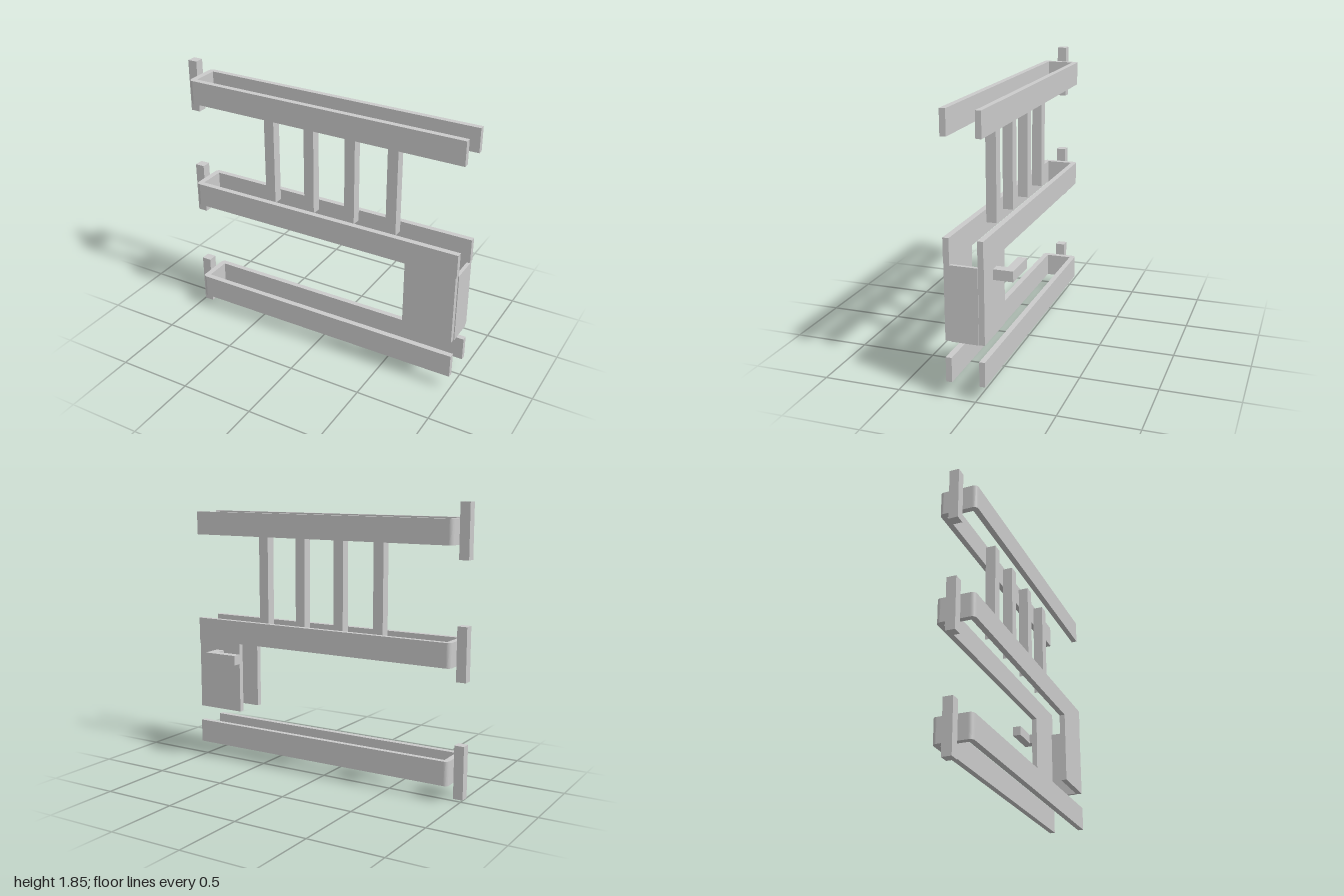
import * as THREE from 'three';

const material = new THREE.MeshStandardMaterial({ color: 0xcccccc, flatShading: true });

// Depth of the rails: outer and inner faces of the two walls
const BACK = -0.062, BACK_IN = -0.026, FRONT_IN = 0.148, FRONT = 0.186;
const MID = (BACK + FRONT) / 2;

export function createModel() {
  const model = new THREE.Group();
  model.name = 'railGate';

  const add = (name, geometry, x = 0, y = 0, z = 0) => {
    const mesh = new THREE.Mesh(geometry, material);
    mesh.name = name;
    mesh.position.set(x, y, z);
    model.add(mesh);
    return mesh;
  };
  // Box given by its limits on each axis
  const box = (name, x0, x1, y0, y1, z0, z1) =>
    add(name, new THREE.BoxGeometry(x1 - x0, y1 - y0, z1 - z0), (x0 + x1) / 2, (y0 + y1) / 2, (z0 + z1) / 2);

  // U-shaped rail outline, open at the +x end, rounded at the outer corners
  const left = -0.935, right = 0.997, r = 0.028;
  const outline = new THREE.Shape();
  outline.moveTo(right, BACK);
  outline.lineTo(right, BACK_IN);
  outline.lineTo(-0.897, BACK_IN);
  outline.lineTo(-0.897, FRONT_IN);
  outline.lineTo(right, FRONT_IN);
  outline.lineTo(right, FRONT);
  outline.lineTo(left + r, FRONT);
  outline.absarc(left + r, FRONT - r, r, Math.PI / 2, Math.PI, false);
  outline.lineTo(left, BACK + r);
  outline.absarc(left + r, BACK + r, r, Math.PI, Math.PI * 1.5, false);
  outline.closePath();
  const railGeometry = new THREE.ExtrudeGeometry(outline, { depth: 0.158, bevelEnabled: false, curveSegments: 4 });
  railGeometry.rotateX(Math.PI / 2);

  // Three rails, each with a mounting post at its closed end
  ['lower', 'middle', 'upper'].forEach((level, i) => {
    add(level + 'Rail', railGeometry, 0, 0.264 + i * 0.745, 0);
    const y = i * 0.752;
    box(level + 'Post', -1, left, y, y + 0.348, 0.031, 0.094);
  });

  // Four open-ended square rungs between the middle and upper rails
  const rungGeometry = new THREE.CylinderGeometry(Math.SQRT1_2, Math.SQRT1_2, 1, 4, 1, true);
  rungGeometry.rotateY(Math.PI / 4);
  rungGeometry.scale(0.071, 0.675, 0.067);
  for (let i = 0; i < 4; i++) add('rung' + (i + 1), rungGeometry, -0.387 + i * 0.296, 1.307, MID);

  // Latch housing: two side panels hanging from the middle rail and an end plate
  box('frontPanel', 0.65, 0.992, 0.37, 0.851, FRONT_IN, FRONT);
  box('backPanel', 0.65, 0.992, 0.37, 0.851, BACK, BACK_IN);
  box('endPlate', 0.975, 0.998, 0.37, 0.846, BACK_IN, FRONT_IN);

  // L-shaped handle on the back panel
  box('handleStem', 0.785, 0.847, 0.727, 0.793, -0.13, BACK);
  box('handleGrip', 0.6, 0.847, 0.727, 0.793, -0.187, -0.13);

  return model;
}
